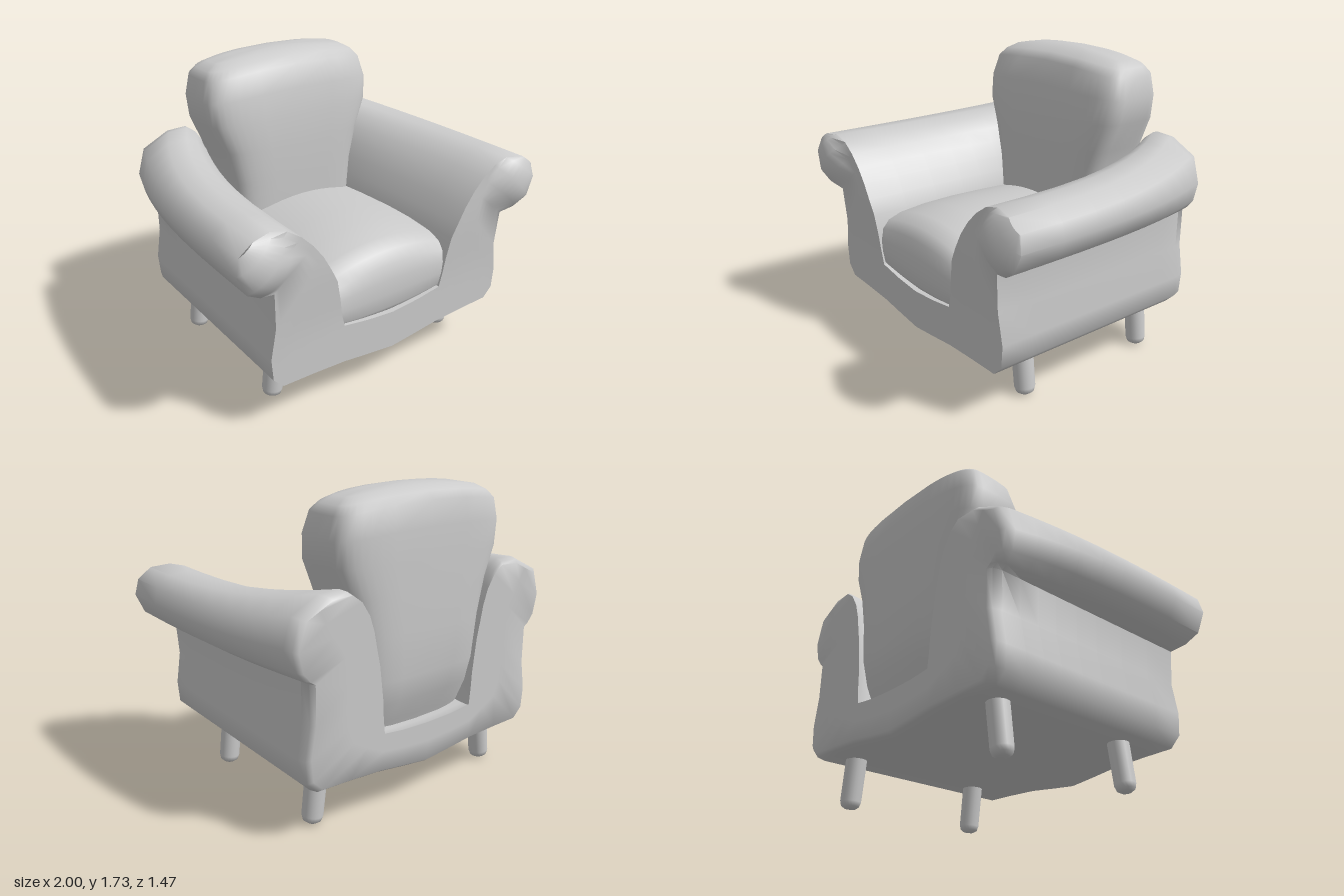
import * as THREE from 'three';
import { mergeGeometries, mergeVertices, toCreasedNormals } from 'three/addons/utils/BufferGeometryUtils.js';

const material = new THREE.MeshStandardMaterial({ color: 0xcccccc });

// Surface through rows of [x, y, z]; it faces (column direction) x (row direction)
function grid(rows) {
  const n = rows[0].length, index = [];
  for (let r = 0; r < rows.length - 1; r++) {
    for (let c = 0; c < n - 1; c++) {
      const a = r * n + c, b = a + 1, d = a + n, e = d + 1;
      index.push(a, b, e, a, e, d);
    }
  }
  const g = new THREE.BufferGeometry();
  g.setAttribute('position', new THREE.Float32BufferAttribute(rows.flat(2), 3));
  g.setIndex(index);
  return g;
}

function addMesh(group, name, geometries, crease) {
  const merged = mergeVertices(mergeGeometries(geometries));
  merged.computeVertexNormals();
  const mesh = new THREE.Mesh(crease ? toCreasedNormals(merged, crease) : merged, material);
  mesh.name = name;
  group.add(mesh);
}

// Half profiles of the frame: outer edge and inner edge, paired from the centre to the arm top
const outerFront = [[0, .23], [.18, .25], [.34, .27], [.55, .28], [.73, .285], [.79, .345], [.8, .47],
  [.77, .65], [.78, .86], [.87, .88], [.95, .93], [1, 1.04], [.98, 1.13]];
const innerFront = [[0, .46], [.18, .475], [.34, .5], [.36, .58], [.375, .68], [.4, .8], [.44, .88],
  [.49, .97], [.55, 1.05], [.62, 1.12], [.7, 1.175], [.79, 1.2], [.9, 1.19]];
const outerBack = [...outerFront.slice(0, 8), [.77, .87], [.8, .89], [.84, .94], [.865, 1.05], [.82, 1.2]];
const innerBack = [[0, .46], [.18, .465], [.32, .48], [.33, .58], [.335, .68], [.35, .8], [.36, .88],
  [.38, .97], [.4, 1.07], [.43, 1.16], [.48, 1.24], [.54, 1.285], [.66, 1.28]];

const blend = (a, b, t) => a.map((p, i) => p.map((v, k) => v + (b[i][k] - v) * t));
const mirrored = (half) => [...half.slice(1).reverse().map(([x, y]) => [-x, y]), ...half];

// Front face depth: slightly leaning panel with a dome on each arm roll
function frontZ(x, y) {
  const d = Math.hypot(Math.abs(x) - .85, y - 1.04) / .168;
  return .63 + .02 * THREE.MathUtils.smoothstep(y, .5, .95) + .09 * Math.max(0, 1 - d * d) ** .65;
}

function section(z, shrink = 1) {
  const t = Math.min(1, ((.63 - z) / 1.3) ** 3);
  const fit = (half) => mirrored(half).map(([x, y]) => [x * shrink, .75 + (y - .75) * shrink]);
  return { outer: fit(blend(outerFront, outerBack, t)), inner: fit(blend(innerFront, innerBack, t)) };
}

// Panel that fills a section between its outer and inner edges
function panel({ outer, inner }, depth, steps) {
  const rows = [];
  for (let s = 0; s <= steps; s++) {
    rows.push(blend(outer, inner, s / steps).map(([x, y]) => [x, y, depth(x, y)]));
  }
  return rows;
}

function frameGeometry() {
  const rows = [[-.73, .955], [-.71, .985], [-.66, 1], [-.54, 1], [-.42, 1], [-.3, 1], [-.15, 1], [0, 1],
    [.2, 1], [.42, 1], [.63, 1]].map(([z, shrink]) => {
    const s = section(z, shrink);
    const ring = [...s.outer, ...s.inner.slice().reverse(), s.outer[0]];
    return ring.map(([x, y]) => [x, y, z === .63 ? frontZ(x, y) : z]);
  });
  const front = panel(section(.63), frontZ, 10);
  const back = panel(section(-.73, .955), () => -.73, 2).reverse();
  return [grid(rows), grid(front), grid(back)];
}

// Cushion section in z and relative height, swept across x with a crowned top
function seatGeometry() {
  const profile = [[-.6, 0], [.59, 0], [.618, .1], [.622, .3], [.62, .5], [.6, .7], [.555, .84], [.47, .93],
    [.3, .985], [.1, 1], [-.15, .98], [-.35, .95], [-.6, .9]];
  const rows = [];
  for (let i = 0; i <= 12; i++) {
    const x = .42 - .07 * i, q = (x / .4) ** 2;
    const bottom = .45 + .035 * q, top = .88 - .08 * q;
    rows.push(profile.map(([z, k]) => [x, bottom + (top - bottom) * k, z]));
  }
  return grid(rows);
}

// Rounded rectangular rings stacked in y: height, half width, front z, back z
function backrestGeometry() {
  const rings = [[.38, .36, -.3, -.6], [.5, .38, -.27, -.64], [.62, .4, -.255, -.69], [.76, .41, -.25, -.722],
    [1, .43, -.245, -.728], [1.2, .48, -.245, -.727], [1.37, .55, -.253, -.725], [1.53, .563, -.275, -.722],
    [1.66, .535, -.31, -.71], [1.7, .5, -.36, -.67], [1.725, .44, -.42, -.61], [1.733, .3, -.47, -.56],
    [1.734, 0, -.51, -.51]];
  const power = (v) => Math.sign(v) * Math.abs(v) ** .45;
  return grid(rings.map(([y, w, zf, zb]) => {
    const row = [];
    for (let i = 0; i <= 40; i++) {
      const a = (i / 40) * Math.PI * 2;
      const x = w * power(Math.sin(a));
      const z = (zf + zb) / 2 + (zf - zb) / 2 * power(Math.cos(a));
      // the crown falls off towards the sides
      const drop = .04 * (x / .5) ** 2 * THREE.MathUtils.smoothstep(y, 1.3, 1.7);
      row.push([x, y - drop, z]);
    }
    return row;
  }));
}

export function createModel() {
  const group = new THREE.Group();
  addMesh(group, 'frameWithArms', frameGeometry(), 1);
  addMesh(group, 'seatCushion', [seatGeometry()]);
  addMesh(group, 'backrest', [backrestGeometry()]);

  // Splayed legs with rounded feet
  const legProfile = [[0, 0], [.03, .004], [.05, .018], [.058, .045], [.06, .34]]
    .map(([r, y]) => new THREE.Vector2(r, y));
  const legGeometry = new THREE.LatheGeometry(legProfile, 20);
  for (const side of [-1, 1]) {
    for (const z of [.34, -.53]) {
      const leg = new THREE.Mesh(legGeometry, material);
      leg.name = (z > 0 ? 'front' : 'back') + (side > 0 ? 'LeftLeg' : 'RightLeg');
      leg.position.set(side * .63, .005, z);
      leg.rotation.z = side * .12;
      group.add(leg);
    }
  }
  return group;
}
